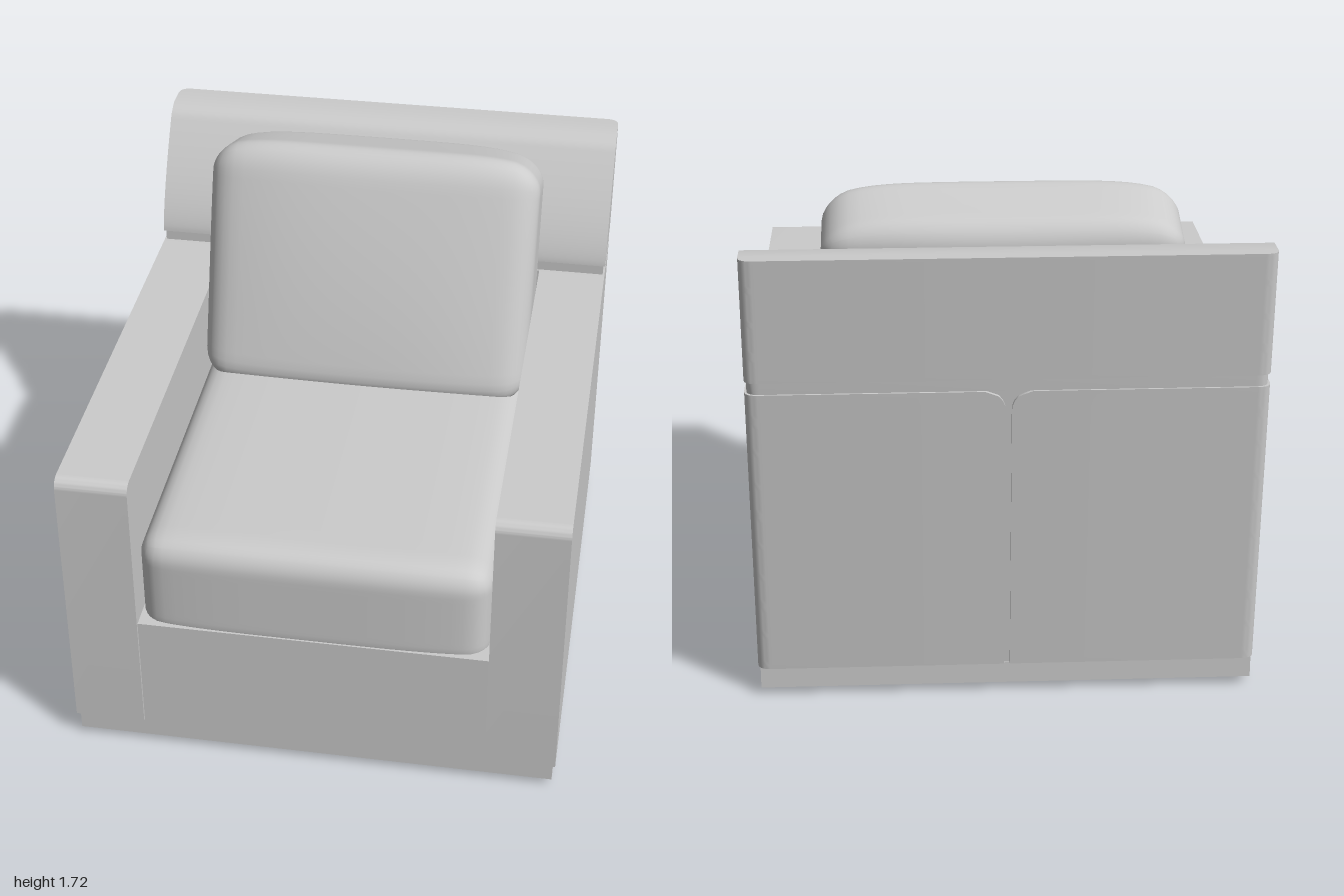
import * as THREE from 'three';
import { mergeVertices, toCreasedNormals } from 'three/addons/utils/BufferGeometryUtils.js';

const material = new THREE.MeshStandardMaterial({ color: 0xcccccc });
const W = 0.865; // half width of the chair
const ARM = 0.25; // arm thickness
const SEAT = W - ARM; // half width between the arms

// The rear face leans backwards as it rises
const rear = (y) => -0.86 - 0.0857 * (y - 0.105);

// Calls rule(vector) on every vertex
function warp(geometry, rule) {
  const pos = geometry.attributes.position;
  const v = new THREE.Vector3();
  for (let i = 0; i < pos.count; i++) {
    v.fromBufferAttribute(pos, i);
    rule(v);
    pos.setXYZ(i, v.x, v.y, v.z);
  }
  return geometry;
}

// Extrudes a plan (x, z) upwards from y0 to y1
function extrudeUp(shape, y0, y1, steps = 1) {
  return new THREE.ExtrudeGeometry(shape, {
    depth: y1 - y0, steps, bevelEnabled: false, curveSegments: 8,
  }).rotateX(Math.PI / 2).translate(0, y1, 0);
}

// Full-width block with rounded rear corners, a leaning rear face and a given front curve
function rearBlock(y0, y1, steps, inset, front, groove = false) {
  const w = W - inset, r = 0.045;
  const s = new THREE.Shape();
  s.moveTo(-w, 1);
  s.lineTo(-w, r);
  s.quadraticCurveTo(-w, 0, -w + r, 0);
  if (groove) {
    s.lineTo(-0.01, 0);
    s.lineTo(-0.01, 0.014);
    s.lineTo(0.01, 0.014);
    s.lineTo(0.01, 0);
  }
  s.lineTo(w - r, 0);
  s.quadraticCurveTo(w, 0, w, r);
  s.lineTo(w, 1);
  s.closePath();
  const g = warp(extrudeUp(s, y0, y1, steps), (v) => {
    // the centre groove flares out under the headrest
    if (Math.abs(v.x) < 0.02) {
      const t = Math.min(0.07, Math.max(0, v.y - y1 + 0.07));
      v.x += Math.sign(v.x) * (0.07 - Math.sqrt(0.0049 - t * t));
    }
    v.z = v.z > 0.5 ? front(v.y) : rear(v.y) + inset + v.z;
  });
  return toCreasedNormals(g, 0.6);
}

// Smooth rounded block, dense at the edges, reshaped by a rule
function cushion(w, h, d, r, rule) {
  const n = 28;
  const g = new THREE.BoxGeometry(2, 2, 2, n, n, n);
  g.deleteAttribute('uv');
  g.deleteAttribute('normal');
  const half = new THREE.Vector3(w / 2, h / 2, d / 2);
  const inner = half.clone().subScalar(r);
  const low = inner.clone().negate();
  const core = new THREE.Vector3();
  warp(g, (v) => {
    v.set(...v.toArray().map((c) => Math.sin(c * Math.PI / 2))).multiply(half);
    core.copy(v).clamp(low, inner);
    v.sub(core).setLength(r).add(core);
    rule(v, v.x / half.x, v.y / half.y, v.z / half.z);
  });
  const smooth = mergeVertices(g, 1e-5);
  smooth.computeVertexNormals();
  return smooth;
}

function rectangle(target, x, z0, z1) {
  target.moveTo(-x, z0);
  target.lineTo(x, z0);
  target.lineTo(x, z1);
  target.lineTo(-x, z1);
  target.closePath();
  return target;
}

export function createModel() {
  const model = new THREE.Group();
  const add = (name, geometry) => {
    const mesh = new THREE.Mesh(geometry, material);
    mesh.name = name;
    model.add(mesh);
    return mesh;
  };

  // Swivel disc with screw holes
  const disc = new THREE.Shape().absarc(0, 0, 0.605, 0, Math.PI * 2);
  const holes = [[0.33, 0, 0.011], [-0.33, 0, 0.011], [0, 0.33, 0.011], [0, -0.33, 0.011], [0.21, 0.27, 0.024]];
  for (const [x, z, r] of holes) disc.holes.push(new THREE.Path().absarc(x, z, r, 0, Math.PI * 2));
  const discGeometry = new THREE.ExtrudeGeometry(disc, { depth: 0.07, bevelEnabled: false, curveSegments: 40 });
  discGeometry.rotateX(Math.PI / 2).translate(0, 0.07, 0.057);
  add('swivelDisc', toCreasedNormals(discGeometry, 0.6));

  // Plinth rim with a recessed floor
  const rim = rectangle(new THREE.Shape(), 0.855, -0.85, 0.985);
  rim.holes.push(rectangle(new THREE.Path(), 0.79, -0.785, 0.92));
  add('plinthRim', extrudeUp(rim, 0.028, 0.105));
  add('plinthFloor', extrudeUp(rectangle(new THREE.Shape(), 0.8, -0.8, 0.93), 0.065, 0.104));

  // Arms with a rounded front top edge
  const side = new THREE.Shape();
  side.moveTo(-0.6, 0.105);
  side.lineTo(1, 0.105);
  side.lineTo(1, 1.115);
  side.absarc(0.96, 1.115, 0.04, 0, Math.PI / 2);
  side.lineTo(-0.6, 1.155);
  side.closePath();
  const armGeometry = toCreasedNormals(
    new THREE.ExtrudeGeometry(side, { depth: ARM, bevelEnabled: false, curveSegments: 8 }).rotateY(-Math.PI / 2), 0.6);
  add('leftArm', armGeometry).position.x = W;
  add('rightArm', armGeometry).position.x = -SEAT;

  // Back, seam strip and headrest
  add('back', rearBlock(0.105, 1.155, 60, 0, () => -0.6, true));
  add('backSeam', rearBlock(1.155, 1.2, 1, 0.007, () => -0.61));
  add('headrest', rearBlock(1.197, 1.625, 40, 0, (y) =>
    -0.6 - 0.22 * Math.max(0, (y - 1.2) / 0.4) ** 1.4 - 0.03 * Math.max(0, (y - 1.59) / 0.035) ** 2));

  // Seat base between the arms
  const seatBase = new THREE.BoxGeometry(SEAT * 2, 0.45, 1.59);
  add('seatBase', seatBase.translate(0, 0.33, 0.195));

  // Seat cushion, crowned on top and bowed at the front
  add('seatCushion', cushion(SEAT * 2 - 0.004, 0.4, 1.54, 0.085, (v, a, b, c) => {
    v.y += 0.685 + (b > 0 ? 0.02 * b * (1 - a ** 4) : 0);
    v.z += 0.19 + (c > 0 ? 0.025 * c * (1 - a ** 4) : 0);
  }));

  // Leaning back cushion: its side outline is blended from four corners [z, y]
  const [f0, f1, b0, b1] = [[-0.06, 0.85], [-0.385, 1.74], [-0.53, 0.85], [-0.7, 1.635]];
  add('backCushion', cushion(SEAT * 2 - 0.004, 0.87, 0.45, 0.1, (v, a, b, c) => {
    const t = (b + 1) / 2, u = (c + 1) / 2;
    const blend = (k) => (f0[k] * u + b0[k] * (1 - u)) * (1 - t) + (f1[k] * u + b1[k] * (1 - u)) * t;
    v.z = blend(0) + 0.035 * c * (1 - a * a) * (1 - b * b * 0.7) - 0.02 * c * a ** 4;
    v.y = blend(1) - 0.06 * Math.max(0, b) ** 3 * a ** 6;
  }));

  return model;
}
